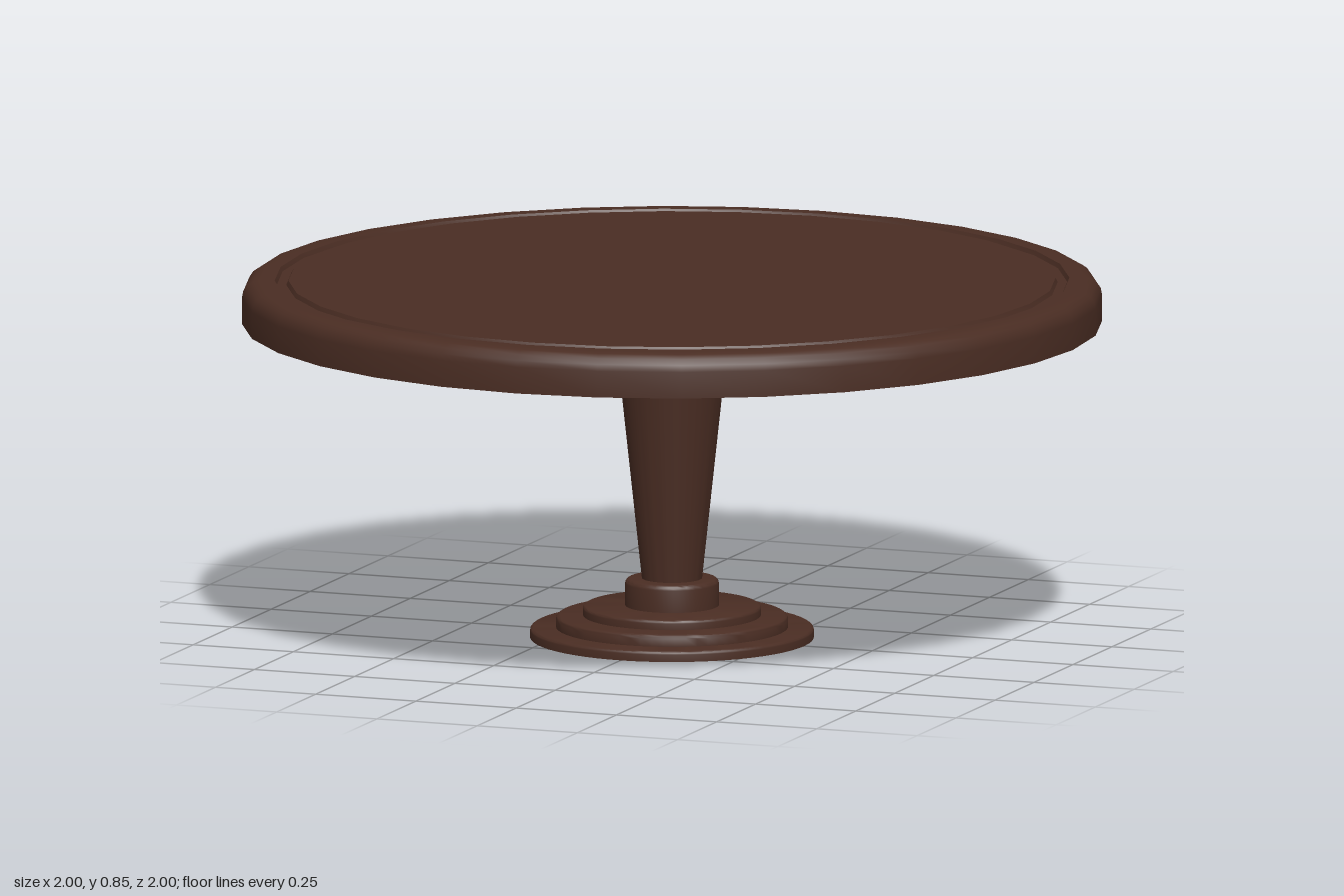
import * as THREE from 'three';
import { toCreasedNormals } from 'three/addons/utils/BufferGeometryUtils.js';

const wood = new THREE.MeshStandardMaterial({ color: 0x4a2d23 });
wood.name = 'dark wood';

// Turned part from an outline running bottom centre -> rim -> top centre
function turned(name, outline, sides) {
  const points = outline.map(([r, y]) => new THREE.Vector2(r, y));
  const geometry = toCreasedNormals(new THREE.LatheGeometry(points, sides), 0.7);
  const mesh = new THREE.Mesh(geometry, wood);
  mesh.name = name;
  return mesh;
}

// Quarter-round upper edge ending at radius r and height y
function roundedEdge(r, y, bevel, steps = 4) {
  return Array.from({ length: steps + 1 }, (_, i) => {
    const a = (i / steps) * Math.PI / 2;
    return [r - bevel + bevel * Math.cos(a), y - bevel + bevel * Math.sin(a)];
  });
}

// Flat disc with a softened upper edge
function disc(name, r, bottom, top, bevel) {
  return turned(name, [[0, bottom], [r, bottom], ...roundedEdge(r, top, bevel), [0, top]], 64);
}

export function createModel() {
  const table = new THREE.Group();
  table.name = 'roundPedestalTable';

  // Table top with a shallow ring groove
  table.add(turned('tableTop', [
    [0, 0.743], [1, 0.743],
    ...roundedEdge(1, 0.845, 0.04),
    [0.924, 0.845], [0.919, 0.835], [0.897, 0.835], [0.892, 0.845],
    [0, 0.845],
  ], 32));

  // Tapered column
  table.add(turned('column', [[0, 0.13], [0.069, 0.13], [0.135, 0.743], [0, 0.743]], 64));

  // Stepped foot
  table.add(disc('footPlate', 0.33, 0, 0.025, 0.008));
  table.add(disc('middleStep', 0.27, 0.025, 0.053, 0.01));
  table.add(disc('upperStep', 0.207, 0.053, 0.076, 0.008));
  table.add(disc('columnCollar', 0.109, 0.076, 0.14, 0.012));

  return table;
}
